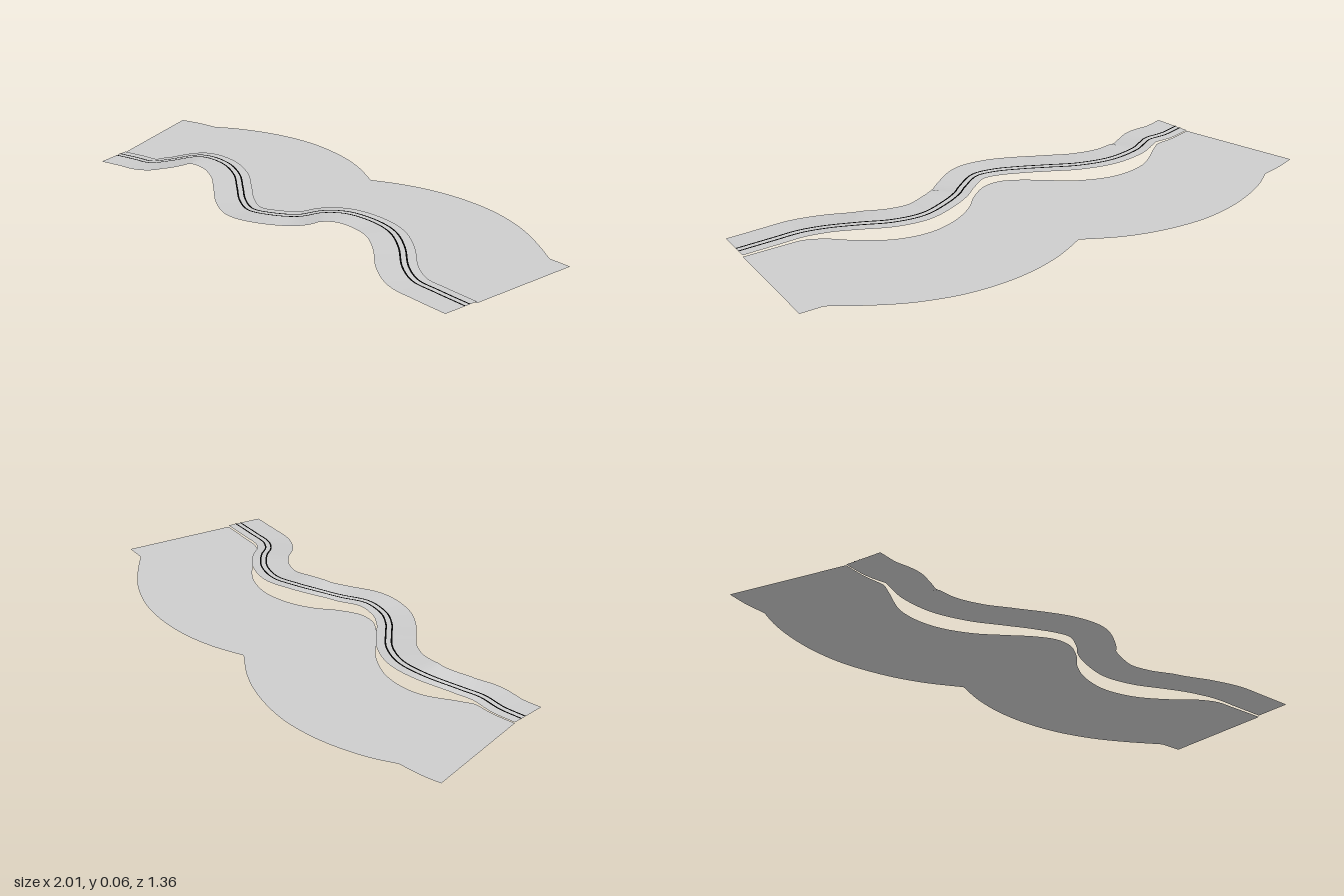
import * as THREE from 'three';

// centre line of the track: x, height, z
const PATH = [
  [-1, 0.003, -0.165], [-0.91, 0.004, -0.153], [-0.82, 0.01, -0.13], [-0.75, 0.023, -0.146],
  [-0.62, 0.051, -0.18], [-0.5, 0.052, -0.15], [-0.4, 0.046, -0.07], [-0.33, 0.037, 0.03],
  [-0.27, 0.028, 0.12], [-0.2, 0.026, 0.188], [-0.11, 0.034, 0.215], [0, 0.037, 0.192],
  [0.08, 0.053, 0.156], [0.17, 0.059, 0.14], [0.28, 0.053, 0.155], [0.38, 0.05, 0.215],
  [0.46, 0.042, 0.315], [0.52, 0.022, 0.42], [0.585, 0.011, 0.487], [0.68, 0.008, 0.53],
  [0.808, 0.006, 0.583],
].map((p) => new THREE.Vector3(...p));

// outer rim of the ground: smooth arcs meeting at corners (x, z)
const RIM = [
  [[-1, -0.675], [-0.92, -0.671], [-0.83, -0.655]],
  [[-0.83, -0.655], [-0.73, -0.678], [-0.61, -0.686], [-0.48, -0.675], [-0.34, -0.637], [-0.19, -0.56], [-0.07, -0.468], [0.035, -0.355]],
  [[0.035, -0.355], [0.17, -0.365], [0.31, -0.352], [0.45, -0.313], [0.59, -0.246], [0.72, -0.148], [0.82, -0.04], [0.915, 0.085]],
  [[0.915, 0.085], [1, 0.12]],
];

const BACK = -0.045, FRONT = 0.1, STEPS = 160;

export function createModel() {
  const group = new THREE.Group();
  const grey = new THREE.MeshStandardMaterial({ color: 0xcccccc, side: THREE.DoubleSide });
  grey.name = 'light grey';
  const black = new THREE.MeshStandardMaterial({ color: 0x000000, side: THREE.DoubleSide });
  black.name = 'black';

  const curve = new THREE.CatmullRomCurve3(PATH, false, 'centripetal');

  // point on the track at a sideways offset and lift
  const at = (i, offset, lift = 0) => {
    const p = curve.getPoint(i / STEPS);
    const t = curve.getTangent(i / STEPS).setY(0).normalize();
    return new THREE.Vector3(p.x - t.z * offset, p.y + lift, p.z + t.x * offset);
  };

  const add = (name, geometry, material) => {
    const mesh = new THREE.Mesh(geometry, material);
    mesh.name = name;
    group.add(mesh);
  };

  // level strip following the track between two offsets
  const strip = (from, to, lift) => {
    const points = [], index = [];
    for (let i = 0; i <= STEPS; i++) {
      points.push(at(i, from, lift), at(i, to, lift));
      if (i < STEPS) {
        const k = i * 2;
        index.push(k, k + 1, k + 2, k + 1, k + 3, k + 2);
      }
    }
    const geometry = new THREE.BufferGeometry().setFromPoints(points);
    geometry.setIndex(index);
    geometry.computeVertexNormals();
    return geometry;
  };

  // raised bed and its two rails
  add('trackBed', strip(BACK, FRONT, 0), grey);
  for (const [name, offset] of [['backRail', -0.011], ['frontRail', 0.011]]) {
    add(name, strip(offset - 0.003, offset + 0.003, 0.0015), black);
  }

  // flat ground from the back edge of the bed out to the rim
  const outline = [];
  for (let i = 0; i <= STEPS; i++) {
    const p = at(i, BACK);
    outline.push(new THREE.Vector2(p.x, -p.z));
  }
  const rim = [];
  RIM.forEach((arc, n) => {
    const spline = new THREE.SplineCurve(arc.map(([x, z]) => new THREE.Vector2(x, -z)));
    rim.push(...spline.getPoints(arc.length * 6).slice(n ? 1 : 0));
  });
  outline.push(...rim.reverse());
  add('ground', new THREE.ShapeGeometry(new THREE.Shape(outline)).rotateX(-Math.PI / 2), grey);

  return group;
}
